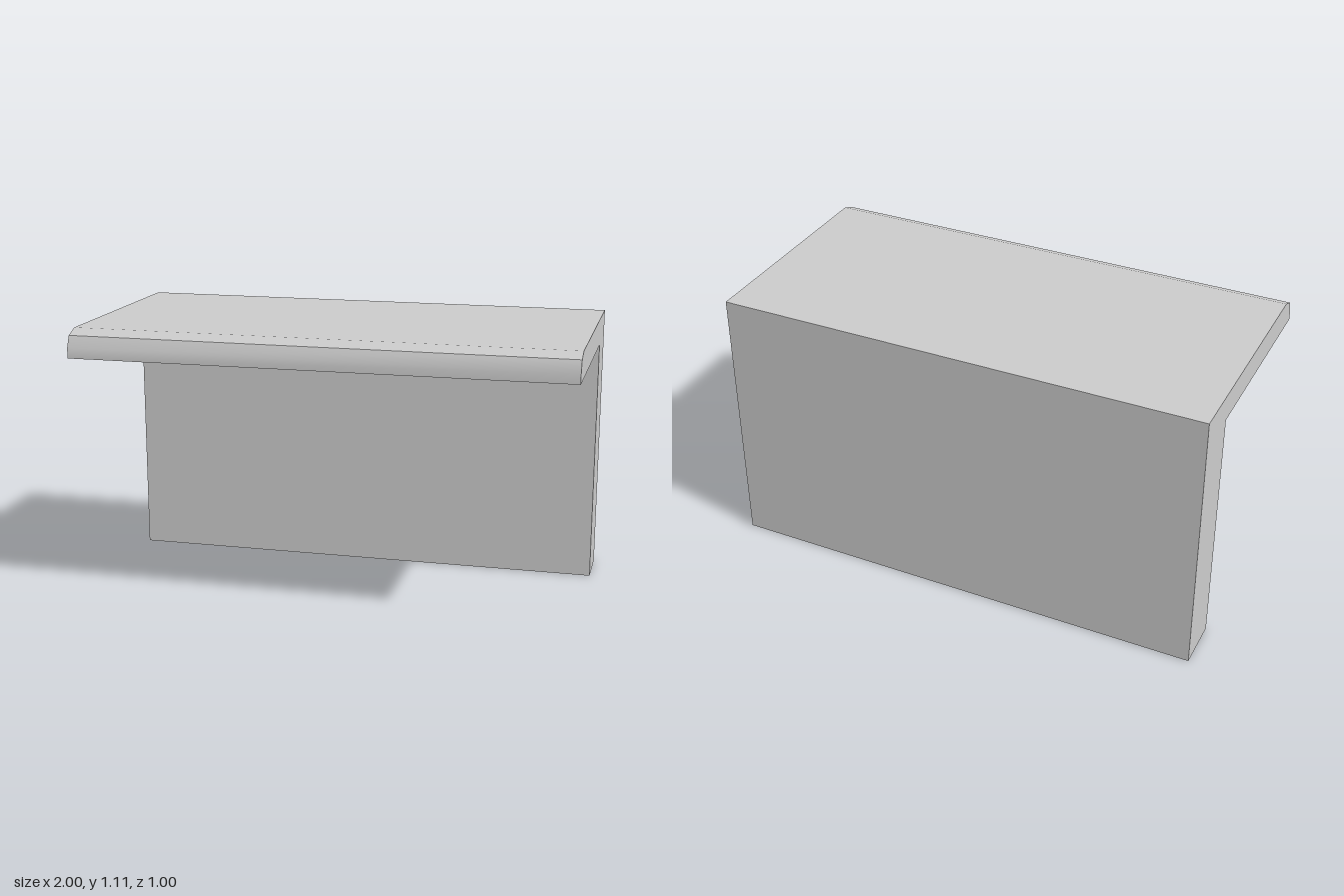
import * as THREE from 'three';
import { toCreasedNormals } from 'three/addons/utils/BufferGeometryUtils.js';

const LENGTH = 2;
const TOP = 1.112;

// L-shaped section as (z, y), with a rounded nose on the overhanging ledge
const SECTION = [
  [-0.5, 0], [-0.293, 0], [-0.293, 1.002], [0.5, 1.002],
  [0.5, 1.043], [0.479, 1.09], [0.424, TOP], [-0.5, TOP],
];

export function createModel() {
  const group = new THREE.Group();
  group.name = 'ledgeBlock';

  // Extrude the section sideways
  const shape = new THREE.Shape(SECTION.map(([z, y]) => new THREE.Vector2(z, y)));
  let geometry = new THREE.ExtrudeGeometry(shape, { depth: LENGTH, bevelEnabled: false });
  geometry.rotateY(-Math.PI / 2).translate(LENGTH / 2, 0, 0);

  // Soften the nose but keep the flat top evenly shaded
  geometry = toCreasedNormals(geometry, Math.PI / 6);
  const { position, normal } = geometry.attributes;
  for (let i = 0; i < position.count; i++) {
    if (position.getY(i) > TOP - 0.001 && normal.getY(i) > 0.5) normal.setXYZ(i, 0, 1, 0);
  }

  const body = new THREE.Mesh(geometry, new THREE.MeshStandardMaterial({ color: 0xcccccc }));
  body.name = 'wallWithLedge';
  group.add(body);
  return group;
}
